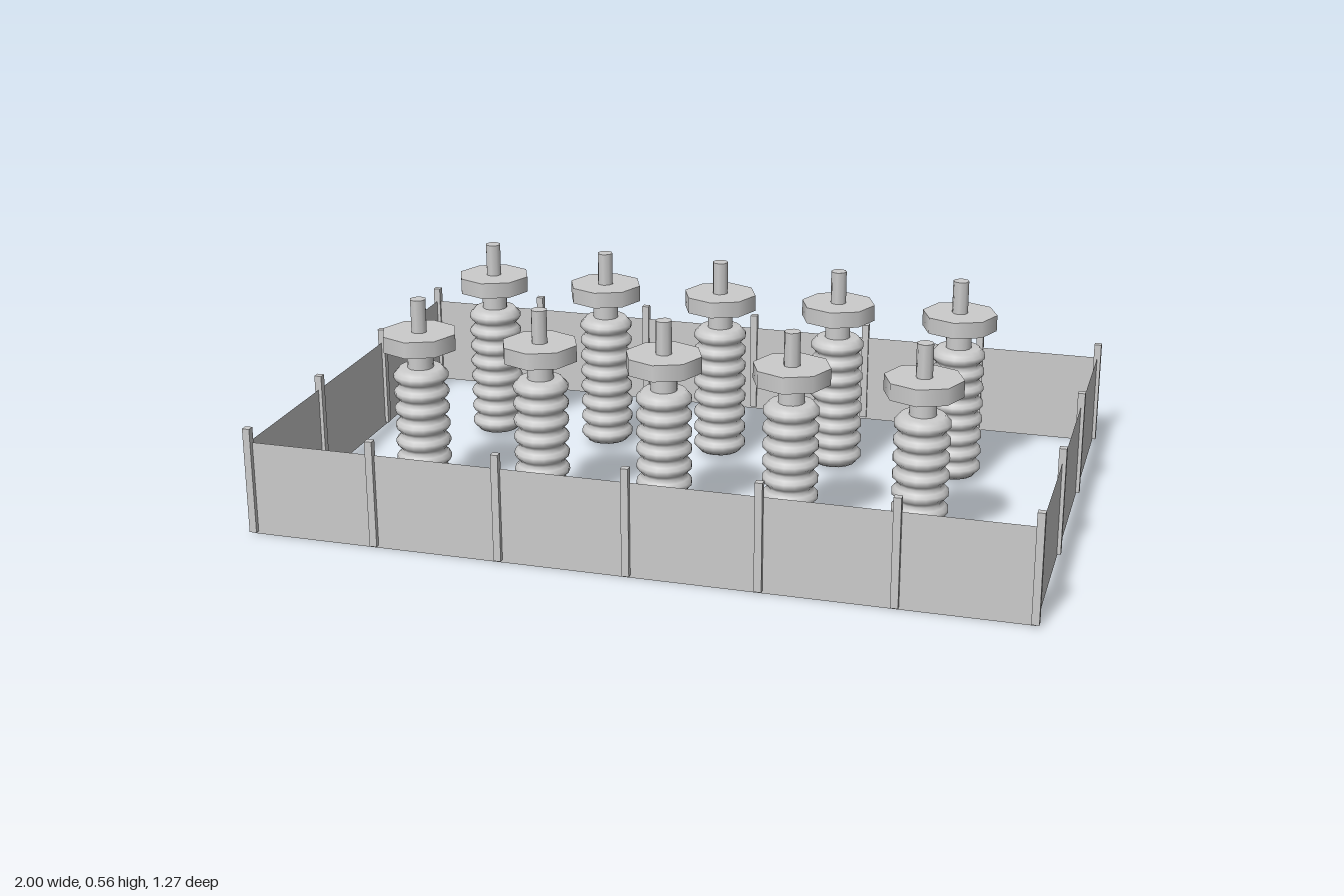
import * as THREE from 'three';

const material = new THREE.MeshStandardMaterial({ color: 0xcccccc });
const panelMaterial = new THREE.MeshStandardMaterial({ color: 0xcccccc, side: THREE.DoubleSide });

const HALF_X = 0.99, HALF_Z = 0.622, WALL = 0.248;

function add(parent, name, geometry, x = 0, y = 0, z = 0, mat = material) {
  const mesh = new THREE.Mesh(geometry, mat);
  mesh.name = name;
  mesh.position.set(x, y, z);
  parent.add(mesh);
  return mesh;
}

// Ribbed body: a wavy profile turned around the vertical axis
function ribbedBody() {
  const ribs = 8, bottom = 0.015, pitch = 0.0447;
  const wave = [[0, 0.056], [0.2, 0.063], [0.38, 0.071], [0.62, 0.071], [0.8, 0.063]];
  const points = [new THREE.Vector2(0, bottom)];
  for (let i = 0; i < ribs; i++) {
    for (const [t, r] of wave) points.push(new THREE.Vector2(r, bottom + (i + t) * pitch));
  }
  const top = bottom + ribs * pitch;
  points.push(new THREE.Vector2(0.056, top), new THREE.Vector2(0, top));
  return new THREE.LatheGeometry(points, 16);
}

export function createModel() {
  const model = new THREE.Group();
  model.name = 'fencedInsulatorYard';

  // Fence panels, thin sheets on all four sides
  const fence = new THREE.Group();
  fence.name = 'fence';
  model.add(fence);
  const longPanel = new THREE.PlaneGeometry(2 * HALF_X, WALL);
  const shortPanel = new THREE.PlaneGeometry(2 * HALF_Z, WALL);
  add(fence, 'frontPanel', longPanel, 0, WALL / 2, HALF_Z, panelMaterial);
  add(fence, 'backPanel', longPanel, 0, WALL / 2, -HALF_Z, panelMaterial).rotation.y = Math.PI;
  add(fence, 'leftPanel', shortPanel, HALF_X, WALL / 2, 0, panelMaterial).rotation.y = Math.PI / 2;
  add(fence, 'rightPanel', shortPanel, -HALF_X, WALL / 2, 0, panelMaterial).rotation.y = -Math.PI / 2;

  // Square fence posts
  const post = new THREE.BoxGeometry(0.019, 0.28, 0.019);
  for (const side of [1, -1]) {
    for (let i = -3; i <= 3; i++) {
      add(fence, 'longSidePost', post, i * 0.33, 0.147, side * (HALF_Z + 0.003));
    }
    for (const z of [0.208, -0.208]) add(fence, 'shortSidePost', post, side * HALF_X, 0.147, z);
  }

  // Two rows of five insulators
  const body = ribbedBody();
  const neck = new THREE.CylinderGeometry(0.034, 0.034, 0.07, 16);
  const cap = new THREE.CylinderGeometry(0.099, 0.099, 0.043, 8);
  const terminal = new THREE.CylinderGeometry(0.021, 0.021, 0.1, 8);
  for (const z of [0.298, -0.24]) {
    for (let i = -2; i <= 2; i++) {
      const insulator = new THREE.Group();
      insulator.name = 'insulator';
      insulator.position.set(i * 0.328, 0, z);
      add(insulator, 'ribbedBody', body);
      add(insulator, 'neck', neck, 0, 0.4, 0);
      add(insulator, 'cap', cap, 0, 0.4465, 0);
      add(insulator, 'terminal', terminal, 0, 0.505, 0);
      model.add(insulator);
    }
  }
  return model;
}
